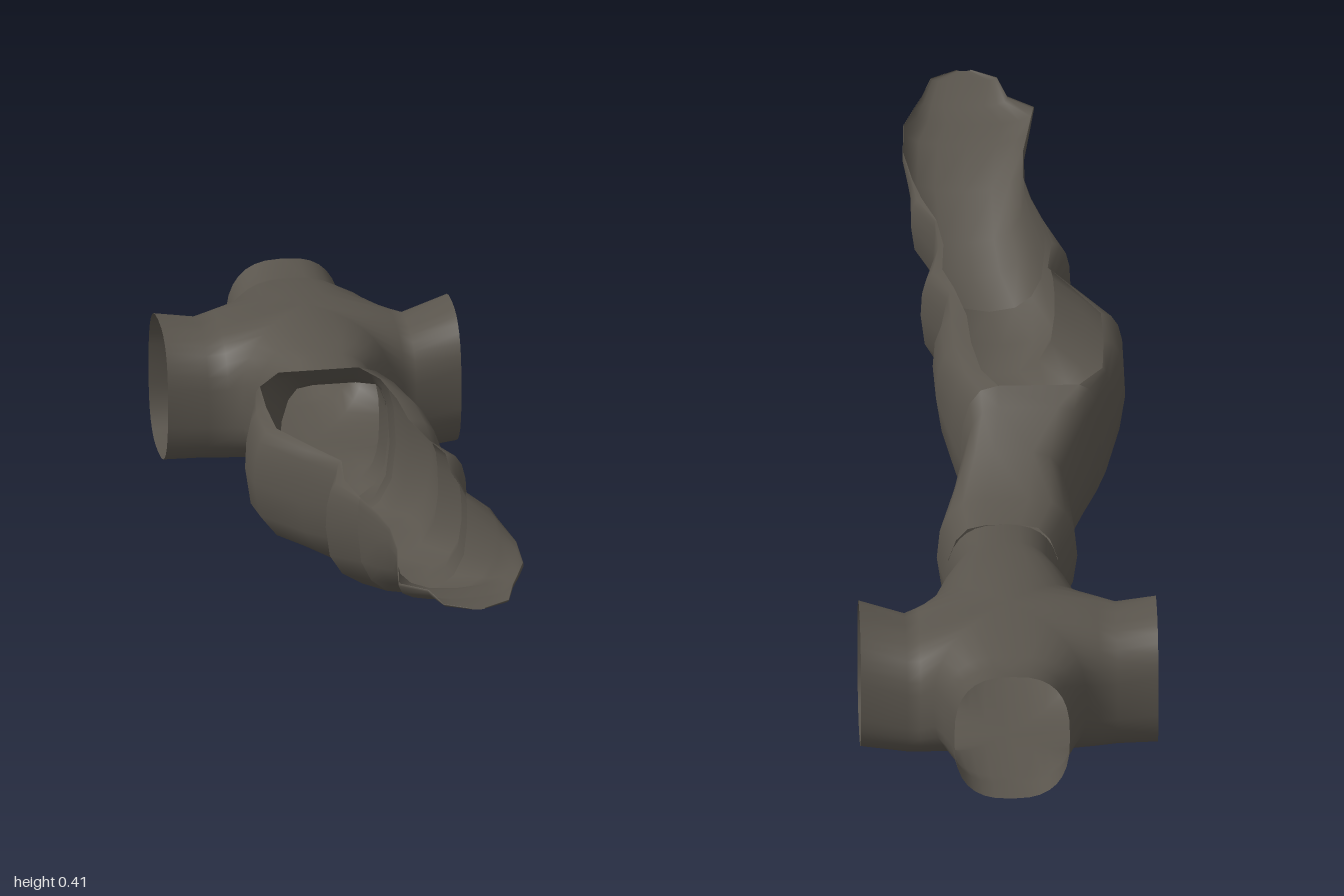
import * as THREE from 'three';
import { mergeVertices, mergeGeometries } from 'three/addons/utils/BufferGeometryUtils.js';

const rock = new THREE.MeshStandardMaterial({ color: 0x5a554d, side: THREE.DoubleSide });
rock.name = 'dark rock';

// Skin a list of rows, each a list of [x, y, z] points
function skin(rows, flip = false) {
  const n = rows[0].length, index = [];
  for (let i = 0; i < rows.length - 1; i++) {
    for (let j = 0; j < n - 1; j++) {
      const a = i * n + j, b = a + 1, c = a + n, d = c + 1;
      if (flip) index.push(a, b, c, b, d, c);
      else index.push(a, c, b, b, c, d);
    }
  }
  const g = new THREE.BufferGeometry();
  g.setAttribute('position', new THREE.Float32BufferAttribute(rows.flat(2), 3));
  g.setIndex(index);
  return g;
}

function part(name, geometry) {
  const g = mergeVertices(geometry, 1e-4);
  g.computeVertexNormals();
  const mesh = new THREE.Mesh(g, rock);
  mesh.name = name;
  return mesh;
}

// Cross-section: from the left lip, round the floor, to the right lip
// z, left wall, right wall, floor, widest height, top, left lip, right lip
function section([z, x0, x1, y0, ym, y1, l0, l1], closed) {
  const pts = [], q = 4, xc = (x0 + x1) / 2, e = 0.8;
  const quarter = (xa, xw, yEnd, fromEnd) => {
    for (let i = 0; i < q; i++) {
      const t = (fromEnd ? i : q - i) / q * Math.PI / 2;
      const s = Math.sin(t) ** e, c = Math.max(0, Math.cos(t)) ** e;
      pts.push([xa + (xw - xa) * s, ym + (yEnd - ym) * c, z]);
    }
  };
  quarter(l0, x0, y1, true);
  quarter(xc, x0, y0, false);
  quarter(xc, x1, y0, true);
  quarter(l1, x1, y1, false);
  pts.push([l1, y1, z]);
  if (closed) pts.push([...pts[0]]);
  return pts;
}
const loft = (list, closed) => skin(list.map((s) => section(s, closed)));

// Crossing of four vaulted passages: one swept corner per quadrant
// each passage: distance from centre, half width, floor, top
function crossing() {
  const zc = -0.75, K = 0.142, steps = 16, e = 0.75;
  const side = {
    right: [[0.275, 0.108, 0.01, 0.275], [0.19, 0.112, 0.0, 0.243], [0.165, 0.125, 0.004, 0.25]],
    left: [[0.275, 0.108, 0.01, 0.275], [0.2, 0.112, 0.01, 0.262], [0.165, 0.125, 0.01, 0.27]],
  };
  const back = [[0.25, 0.107, 0.015, 0.275], [0.19, 0.113, 0.012, 0.262], [0.165, 0.125, 0.012, 0.27]];
  const front = [[0.3, 0.105, 0.015, 0.28], [0.23, 0.1, 0.01, 0.285], [0.18, 0.125, 0.008, 0.288]];
  const quads = [];
  for (const sx of [-1, 1]) {
    for (const sz of [-1, 1]) {
      const row = (f, lo, hi) => {
        const pts = [];
        for (let j = 0; j <= steps; j++) {
          const a = j / steps * Math.PI, c = Math.cos(a);
          const s = Math.max(0, j === steps ? 0 : Math.sin(a)) ** e;
          const [x, z] = f(s);
          const y = (lo + hi) / 2 + (hi - lo) / 2 * Math.sign(c) * Math.abs(c) ** e;
          pts.push([sx * x, y, zc + sz * z]);
        }
        return pts;
      };
      const arm = sx > 0 ? side.right : side.left, run = sz > 0 ? front : back;
      const rows = [
        ...arm.map(([d, w, lo, hi]) => row((s) => [d, w * s], lo, hi)),
        row((s) => [K * s, K * s], 0.008, 0.29),
        ...[...run].reverse().map(([d, w, lo, hi]) => row((s) => [w * s, d], lo, hi)),
      ];
      quads.push(skin(rows, sx * sz > 0));
    }
  }
  return mergeGeometries(quads);
}

export function createModel() {
  const model = new THREE.Group();
  model.name = 'caveTunnel';
  model.add(part('crossing', crossing()));

  // Closed climbing tunnel
  const mouth = [-0.16, -0.19, 0.07, 0.098, 0.25, 0.408, -0.15, 0.0];
  model.add(part('closedTunnel', loft([
    [-0.45, -0.105, 0.105, 0.015, 0.147, 0.28, -0.03, 0.03],
    [-0.37, -0.14, 0.12, 0.045, 0.165, 0.288, -0.05, 0.03],
    [-0.28, -0.128, 0.09, 0.072, 0.19, 0.335, -0.06, 0.01],
    [-0.2, -0.17, 0.065, 0.095, 0.235, 0.385, -0.11, 0.0],
    mouth,
  ], true)));

  // Tunnel with its roof cut away level
  model.add(part('openTunnel', loft([
    mouth,
    [-0.1, -0.21, 0.085, 0.1, 0.26, 0.408, -0.195, 0.03],
    [0, -0.24, 0.11, 0.135, 0.29, 0.408, -0.2, 0.045],
    [0.1, -0.24, 0.113, 0.16, 0.3, 0.408, -0.198, 0.05],
    [0.2, -0.17, 0.088, 0.17, 0.3, 0.408, -0.145, 0.07],
    [0.27, -0.118, 0.13, 0.177, 0.31, 0.408, -0.105, 0.09],
    [0.36, -0.15, 0.105, 0.19, 0.315, 0.408, -0.115, 0.085],
    [0.45, -0.105, 0.1, 0.21, 0.34, 0.408, -0.1, 0.095],
  ], false)));

  // Shallow trough running out to a ragged tip
  model.add(part('trough', loft([
    [0.45, -0.105, 0.1, 0.21, 0.34, 0.408, -0.1, 0.095],
    [0.53, -0.085, 0.14, 0.24, 0.35, 0.408, -0.08, 0.12],
    [0.6, -0.072, 0.138, 0.27, 0.37, 0.408, -0.07, 0.135],
    [0.7, -0.075, 0.15, 0.322, 0.39, 0.408, -0.073, 0.149],
    [0.8, -0.09, 0.146, 0.362, 0.4, 0.408, -0.088, 0.145],
    [0.86, -0.098, 0.125, 0.37, 0.403, 0.408, -0.097, 0.124],
    [0.9, -0.05, 0.11, 0.386, 0.404, 0.408, -0.049, 0.109],
    [0.97, -0.033, 0.09, 0.4, 0.406, 0.408, -0.032, 0.089],
    [1.0, 0.015, 0.04, 0.405, 0.407, 0.408, 0.016, 0.039],
  ], false)));
  return model;
}
